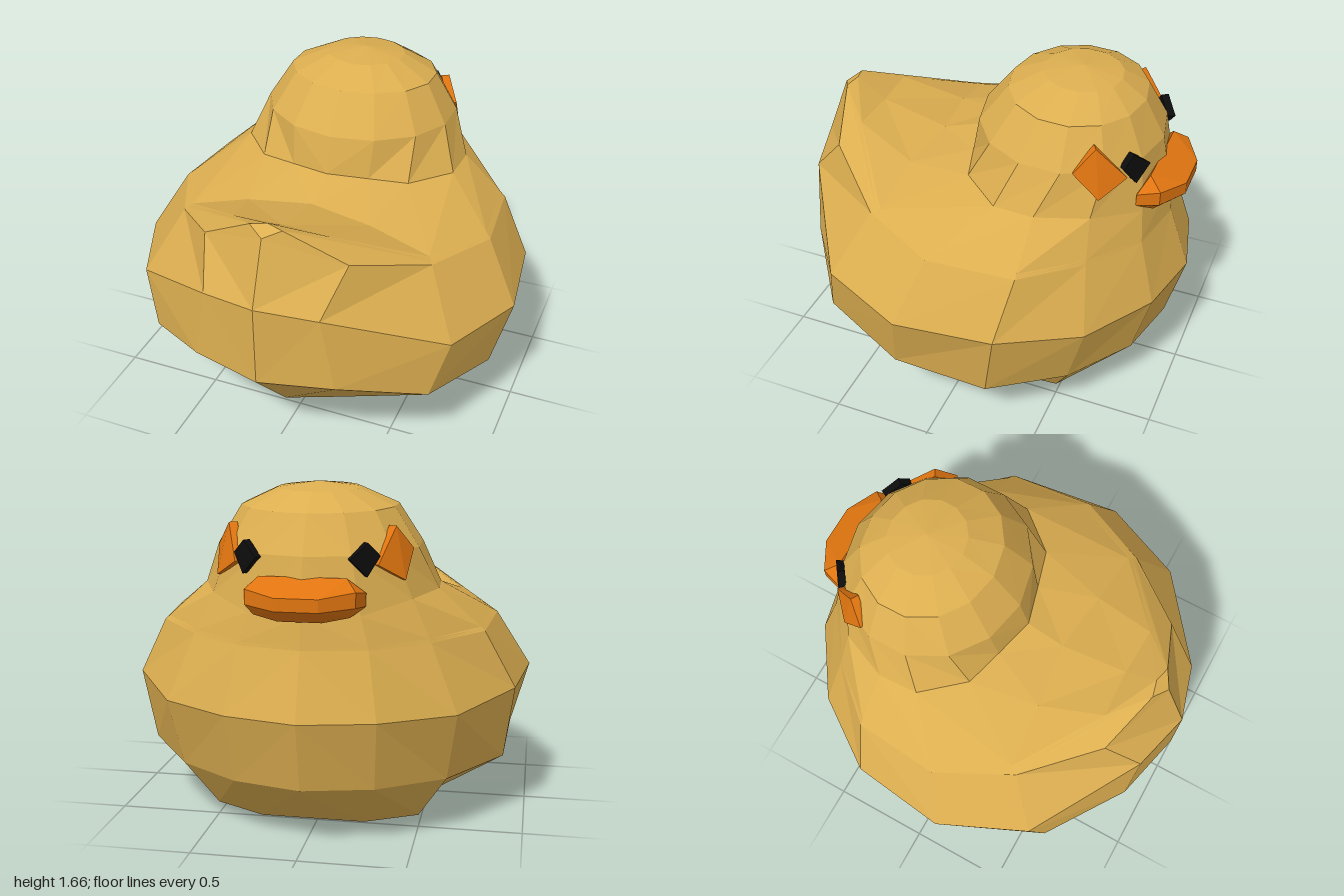
import * as THREE from 'three';
import { ConvexGeometry } from 'three/addons/geometries/ConvexGeometry.js';

const flat = (name, color) => {
  const m = new THREE.MeshStandardMaterial({ color, flatShading: true });
  m.name = name;
  return m;
};
const V = (x, y, z) => new THREE.Vector3(x, y, z);
const SIDES = 14; // columns around the body: 0 = breast, 7 = tail

// A half ring (breast to tail on the +x side) mirrored into a closed loop
const mirrorRing = (half) => {
  const pts = half.map((p) => V(...p));
  for (let k = 6; k >= 1; k--) pts.push(V(-half[k][0], half[k][1], half[k][2]));
  return pts;
};
// Elliptical head ring spanning zFront to zBack
const headRing = (rx, zFront, zBack, yFront, yBack) => {
  const half = [];
  for (let k = 0; k <= 7; k++) {
    const a = (k * Math.PI) / 7, t = (1 - Math.cos(a)) / 2;
    half.push([rx * Math.sin(a), yFront + (yBack - yFront) * t, zFront + (zBack - zFront) * t]);
  }
  return mirrorRing(half);
};
const point = (x, y, z) => Array.from({ length: SIDES }, () => V(x, y, z));

// Skin between successive loops, bottom to top
function loft(rings) {
  const pos = [];
  const tri = (a, b, c) => {
    if (a.distanceTo(b) < 1e-5 || b.distanceTo(c) < 1e-5 || a.distanceTo(c) < 1e-5) return;
    for (const p of [a, b, c]) pos.push(p.x, p.y, p.z);
  };
  for (let i = 0; i < rings.length - 1; i++) {
    for (let k = 0; k < SIDES; k++) {
      const n = (k + 1) % SIDES;
      const a = rings[i][k], b = rings[i][n], c = rings[i + 1][k], d = rings[i + 1][n];
      if (k < 7) { tri(a, c, b); tri(b, c, d); }
      else { tri(a, d, b); tri(a, c, d); } // mirrored diagonals
    }
  }
  const g = new THREE.BufferGeometry();
  g.setAttribute('position', new THREE.Float32BufferAttribute(pos, 3));
  g.computeVertexNormals();
  return g;
}

export function createModel() {
  const group = new THREE.Group();
  group.name = 'duck';
  const yellow = flat('yellow', 0xdcae50);
  const orange = flat('orange', 0xe07510);
  const black = flat('black', 0x0c0c0c);

  const add = (name, geometry, material) => {
    const mesh = new THREE.Mesh(geometry, material);
    mesh.name = name;
    group.add(mesh);
  };

  // Body loops
  const base = [[0, .05, -.61], [.25, .05, -.61], [.5, .06, -.5], [.54, .08, -.2],
    [.54, .11, .2], [.44, .23, .5], [.22, .21, .61], [0, .19, .68]];
  const belly = [[0, .3, -.91], [.33, .3, -.83], [.64, .29, -.6], [.89, .31, -.27],
    [.91, .35, .2], [.73, .42, .64], [.36, .55, .91], [0, .55, 1]];
  const waist = [[0, .64, -1], [.35, .64, -.92], [.69, .63, -.69], [.94, .675, -.33],
    [1, .68, .15], [.81, .7, .58], [.29, .93, .92], [0, .97, 1]];
  const shoulder = [[0, .95, -.89], [.3, .95, -.83], [.56, .95, -.64], [.79, .96, -.38],
    [.83, .97, .05], [.65, 1.01, .42], [.36, 1.14, .74], [0, 1.28, .88]];
  const neck = [[0, 1.1, -.87], [.26, 1.1, -.81], [.47, 1.15, -.62], [.57, 1.16, -.38],
    [.56, 1.16, -.18], [.39, 1.17, .02], [.2, 1.185, .075], [0, 1.2, .13]];
  // Back loops: blend shoulder to neck, but shape the tail by hand
  const back = (t, side, middle) => shoulder.map((p, k) =>
    k === 7 ? middle : k === 6 ? side : p.map((v, j) => v + (neck[k][j] - v) * t));

  add('body', loft([
    point(0, 0, -.18),
    ...[base, belly, waist, shoulder,
      back(.03, [.08, 1.31, .83], [0, 1.32, .81]),
      back(.06, [.24, 1.22, .67], [0, 1.22, .66]),
      back(.1, [.32, 1.11, .36], [0, 1.135, .32]),
      neck].map(mirrorRing),
  ]), yellow);

  // Head loops
  add('head', loft([
    mirrorRing(neck),
    headRing(.49, -.82, .08, 1.36, 1.38),
    headRing(.375, -.72, -.06, 1.54, 1.565),
    headRing(.2, -.6, -.22, 1.625, 1.64),
    point(0, 1.66, -.41),
  ]), yellow);

  // Beak: wide curved lip
  const beak = [];
  for (const s of [-1, 1]) {
    for (const [x, y, z] of [
      [.1, 1.25, -.85], [.1, 1.2, -.97], [.1, 1.14, -.97], [.1, 1.08, -.89],
      [.2, 1.27, -.82], [.25, 1.22, -.885], [.25, 1.15, -.885], [.22, 1.1, -.85],
      [.28, 1.2, -.78], [.28, 1.14, -.78],
    ]) beak.push(V(s * x, y, z));
  }
  add('beak', new ConvexGeometry(beak), orange);

  // Diamond eyes and cheek patches set into the head
  const patch = (name, corners, out, material) => {
    for (const s of [-1, 1]) {
      const pts = [];
      for (const [x, y, z] of corners) {
        const dir = V(x, 0, z + .38).normalize();
        for (const d of [out, -.03]) pts.push(V(s * (x + dir.x * d), y, z + dir.z * d));
      }
      add((s > 0 ? 'left' : 'right') + name, new ConvexGeometry(pts), material);
    }
  };
  patch('Eye', [[.28, 1.42, -.75], [.33, 1.36, -.72], [.28, 1.27, -.77], [.21, 1.35, -.81]], .008, black);
  patch('Cheek', [[.38, 1.48, -.6], [.45, 1.37, -.52], [.43, 1.24, -.64], [.32, 1.32, -.735]], .012, orange);

  return group;
}
